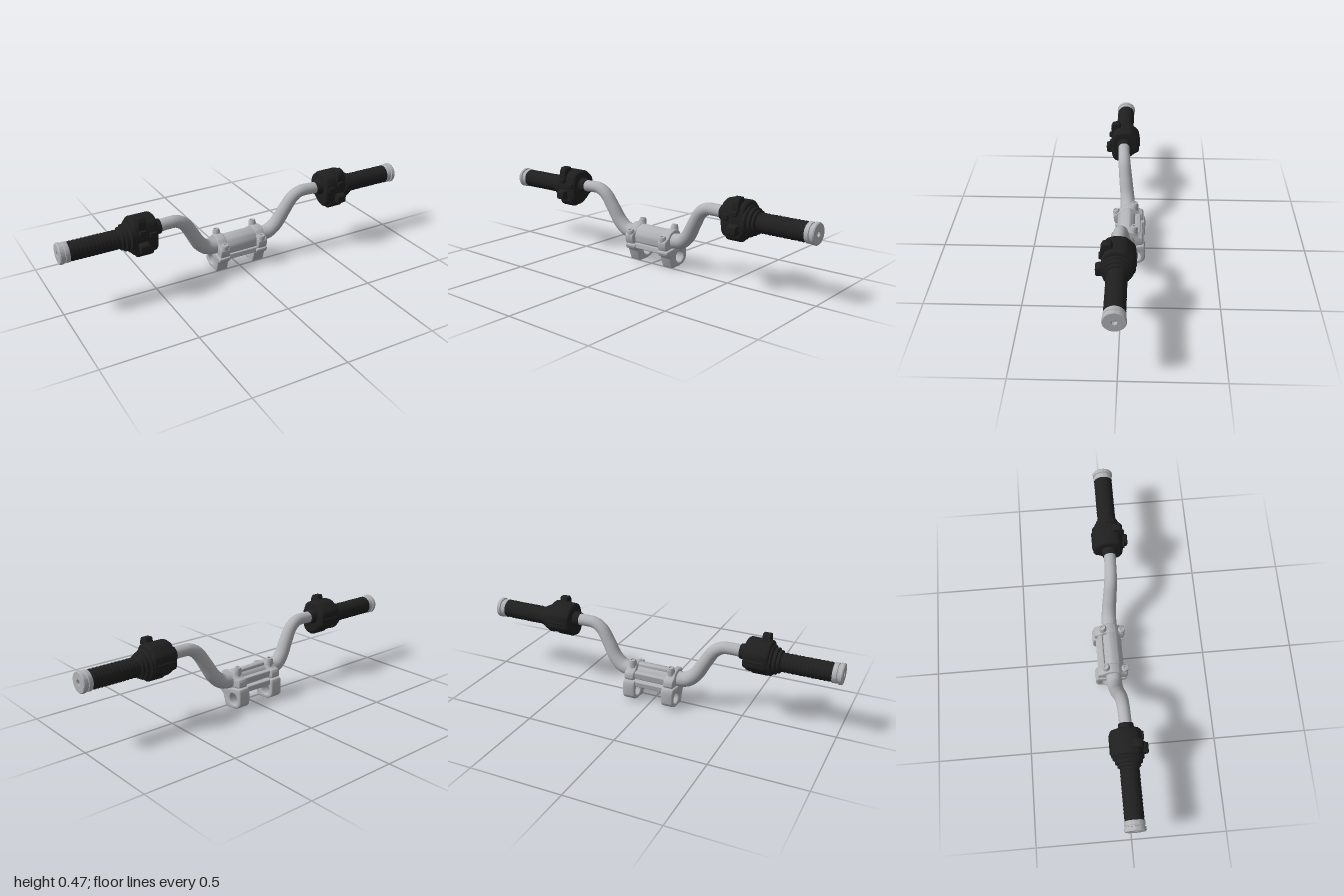
import * as THREE from 'three';
import { toCreasedNormals, mergeVertices } from 'three/addons/utils/BufferGeometryUtils.js';
import { RoundedBoxGeometry } from 'three/addons/geometries/RoundedBoxGeometry.js';

const AXIS_Y = 0.354, AXIS_Z = 0.012; // grip axis

// Closed outline of [z, y] points with rounded corners
function outline(points, r) {
  const v = points.map(([z, y]) => new THREE.Vector2(-z, y));
  const shape = new THREE.Shape();
  v.forEach((p, i) => {
    const a = v[(i + v.length - 1) % v.length], b = v[(i + 1) % v.length];
    const toward = (q) => {
      const d = p.distanceTo(q);
      return p.clone().lerp(q, Math.min(r, d * 0.48) / d);
    };
    const s = toward(a), e = toward(b);
    if (i === 0) shape.moveTo(s.x, s.y); else shape.lineTo(s.x, s.y);
    shape.quadraticCurveTo(p.x, p.y, e.x, e.y);
  });
  shape.closePath();
  return shape;
}

// Side outline extruded from x0 to x1 with bevelled ends
function slab(points, x0, x1, { r = 0.015, bevel = 0.006, hole } = {}) {
  const shape = outline(points, r);
  if (hole) shape.holes.push(new THREE.Path().absarc(-hole[0], hole[1], hole[2] + bevel, 0, Math.PI * 2, true));
  const g = new THREE.ExtrudeGeometry(shape, {
    depth: x1 - x0 - 2 * bevel, bevelThickness: bevel, bevelSize: bevel, bevelOffset: -bevel,
    bevelSegments: 3, curveSegments: 8,
  });
  g.translate(0, 0, x0 + bevel).rotateY(Math.PI / 2);
  return toCreasedNormals(g, 0.7);
}

// Turned part around the grip axis, from [radius, x] points
function turned(points) {
  const g = new THREE.LatheGeometry(points.map(([r, x]) => new THREE.Vector2(r, x)), 40);
  g.rotateZ(-Math.PI / 2).translate(0, AXIS_Y, AXIS_Z);
  return toCreasedNormals(g, 0.6);
}

function box(w, h, d, x, y, z, tilt = 0, r = 0.006) {
  return new RoundedBoxGeometry(w, h, d, 3, r).rotateX(tilt).translate(x, y, z);
}

// Upright bolt or post with a chamfered head
function post(r, h, x, y, z, tilt) {
  const p = [[0, 0], [r, 0], [r, h * 0.8], [r * 0.75, h], [r * 0.45, h], [r * 0.4, h - 0.006], [0, h - 0.006]];
  const g = new THREE.LatheGeometry(p.map(([a, b]) => new THREE.Vector2(a, b)), 20);
  return toCreasedNormals(g.rotateX(tilt).translate(x, y, z), 0.6);
}

function mirrored(geo) {
  const g = geo.index ? geo.toNonIndexed() : geo.clone();
  g.scale(-1, 1, 1);
  for (const attr of Object.values(g.attributes)) {
    const n = attr.itemSize, a = attr.array;
    for (let i = 0; i < attr.count; i += 3)
      for (let k = 0; k < n; k++) {
        const j = (i + 1) * n + k;
        [a[j], a[j + n]] = [a[j + n], a[j]];
      }
  }
  return mergeVertices(g);
}

export function createModel() {
  const root = new THREE.Group();
  root.name = 'handlebar';
  const metal = new THREE.MeshStandardMaterial({ color: 0xb2b3b7 });
  metal.name = 'silver metal';
  const black = new THREE.MeshStandardMaterial({ color: 0x1f1f1f });
  black.name = 'black rubber';

  const add = (name, geo, mat) => {
    const m = new THREE.Mesh(geo, mat);
    m.name = name;
    root.add(m);
  };
  const pair = (name, geo, mat) => {
    add(name + 'Left', geo, mat);
    add(name + 'Right', mirrored(geo), mat);
  };

  // Bent bar, thicker in the middle and tapering to the ends
  const half = [[0.08, 0.152, -0.021], [0.15, 0.153, -0.02], [0.195, 0.163, -0.018], [0.24, 0.202, -0.013],
    [0.284, 0.275, -0.004], [0.33, 0.344, 0.004], [0.375, 0.371, 0.008], [0.42, 0.374, 0.01], [0.49, 0.371, 0.012], [0.64, 0.36, 0.012]];
  const path = [...half.map(([x, y, z]) => [-x, y, z]).reverse(), ...half];
  const curve = new THREE.CatmullRomCurve3(path.map((p) => new THREE.Vector3(...p)));
  const segs = 140, sides = 24;
  const bar = new THREE.TubeGeometry(curve, segs, 1, sides);
  const pos = bar.attributes.position, v = new THREE.Vector3();
  for (let i = 0; i <= segs; i++) {
    const c = curve.getPointAt(i / segs);
    const r = 0.041 - 0.009 * THREE.MathUtils.smoothstep(Math.abs(c.x), 0.16, 0.42);
    for (let j = 0; j <= sides; j++) {
      const k = i * (sides + 1) + j;
      v.fromBufferAttribute(pos, k).sub(c).multiplyScalar(r).add(c);
      pos.setXYZ(k, v.x, v.y, v.z);
    }
  }
  add('bar', bar, metal);

  // Risers with a cross hole
  pair('riser', slab([[0.053, 0.101], [0.046, 0.076], [0.026, 0.07], [0.003, 0.002], [-0.065, 0.005],
    [-0.1, 0.016], [-0.118, 0.035], [-0.118, 0.1], [-0.112, 0.126]], 0.08, 0.147, { r: 0.012, hole: [-0.062, 0.057, 0.026] }), metal);

  // Clamp lugs closing over the bar
  pair('clampLug', slab([[0.053, 0.104], [0.062, 0.156], [0.028, 0.176], [0.01, 0.2], [-0.025, 0.212], [-0.06, 0.205],
    [-0.078, 0.178], [-0.105, 0.172], [-0.11, 0.129]], 0.088, 0.142, { r: 0.014 }), metal);

  // Clamp bolts
  pair('rearBolt', post(0.021, 0.09, 0.112, 0.142, -0.048, -0.14), metal);
  pair('frontBolt', post(0.02, 0.05, 0.112, 0.136, 0.034, 0.28), metal);

  // Bridge between the clamps: front plate and open rails behind and below
  add('clampPlate', slab([[0.032, 0.108], [0.036, 0.158], [0.014, 0.194], [-0.022, 0.208], [-0.042, 0.205],
    [-0.042, 0.18], [-0.015, 0.12]], -0.1, 0.1, { r: 0.014, bevel: 0.003 }), metal);
  add('rearUpperRail', box(0.2, 0.04, 0.028, 0, 0.152, -0.075, -0.15), metal);
  add('rearLowerRail', box(0.2, 0.034, 0.03, 0, 0.108, -0.085, -0.15), metal);
  add('frontLowerRail', box(0.2, 0.03, 0.04, 0, 0.094, 0.02, -0.15), metal);

  // Grips with fine ribs
  const ribs = [[0, 0.69]];
  for (let i = 0; i <= 26; i++) ribs.push([i % 2 ? 0.0475 : 0.0505, 0.69 + i * 0.01]);
  ribs.push([0, 0.95]);
  pair('grip', turned(ribs), black);
  pair('gripFlange', turned([[0, 0.625], [0.078, 0.625], [0.08, 0.63], [0.08, 0.645], [0.074, 0.65], [0.069, 0.652],
    [0.069, 0.668], [0.059, 0.672], [0.059, 0.686], [0.05, 0.69], [0, 0.69]]), black);

  // End weights with a groove and a screw recess
  pair('endWeight', turned([[0, 0.948], [0.05, 0.948], [0.052, 0.951], [0.052, 0.97], [0.048, 0.972], [0.048, 0.977], [0.054, 0.979],
    [0.055, 0.995], [0.051, 1], [0.015, 1], [0.013, 0.998], [0.013, 0.982], [0, 0.982]]), metal);

  // Switch housings
  pair('switchHousing', slab([[0.072, 0.438], [0.03, 0.456], [-0.025, 0.452], [-0.048, 0.43], [-0.074, 0.405],
    [-0.076, 0.325], [-0.05, 0.314], [-0.018, 0.284], [0.02, 0.262], [0.055, 0.262], [0.083, 0.29],
    [0.088, 0.345], [0.088, 0.39]], 0.503, 0.638, { r: 0.02, bevel: 0.016 }), black);
  pair('lowerLobe', slab([[0.072, 0.33], [-0.01, 0.33], [0.0, 0.272], [0.022, 0.254], [0.05, 0.248], [0.076, 0.262],
    [0.086, 0.295]], 0.53, 0.62, { r: 0.018, bevel: 0.008 }), black);
  pair('topButton', slab([[0.088, 0.405], [0.09, 0.45], [0.079, 0.472], [0.041, 0.476], [0.034, 0.455],
    [0.02, 0.42]], 0.57, 0.612, { r: 0.006, bevel: 0.004 }), black);
  pair('frontSwitch', slab([[0.06, 0.35], [0.092, 0.343], [0.118, 0.336], [0.116, 0.293], [0.085, 0.29],
    [0.06, 0.3]], 0.562, 0.615, { r: 0.008, bevel: 0.005 }), black);
  pair('sideSwitch', box(0.04, 0.03, 0.03, 0.535, 0.372, 0.082), black);
  pair('upperSwitch', box(0.034, 0.026, 0.04, 0.59, 0.397, 0.08), black);
  pair('rearSeam', box(0.1, 0.012, 0.02, 0.57, 0.362, -0.07, 0, 0.004), black);
  pair('innerCollar', new THREE.CylinderGeometry(0.044, 0.038, 0.04, 28).rotateZ(-Math.PI / 2)
    .translate(0.49, 0.371, AXIS_Z), black);
  return root;
}
